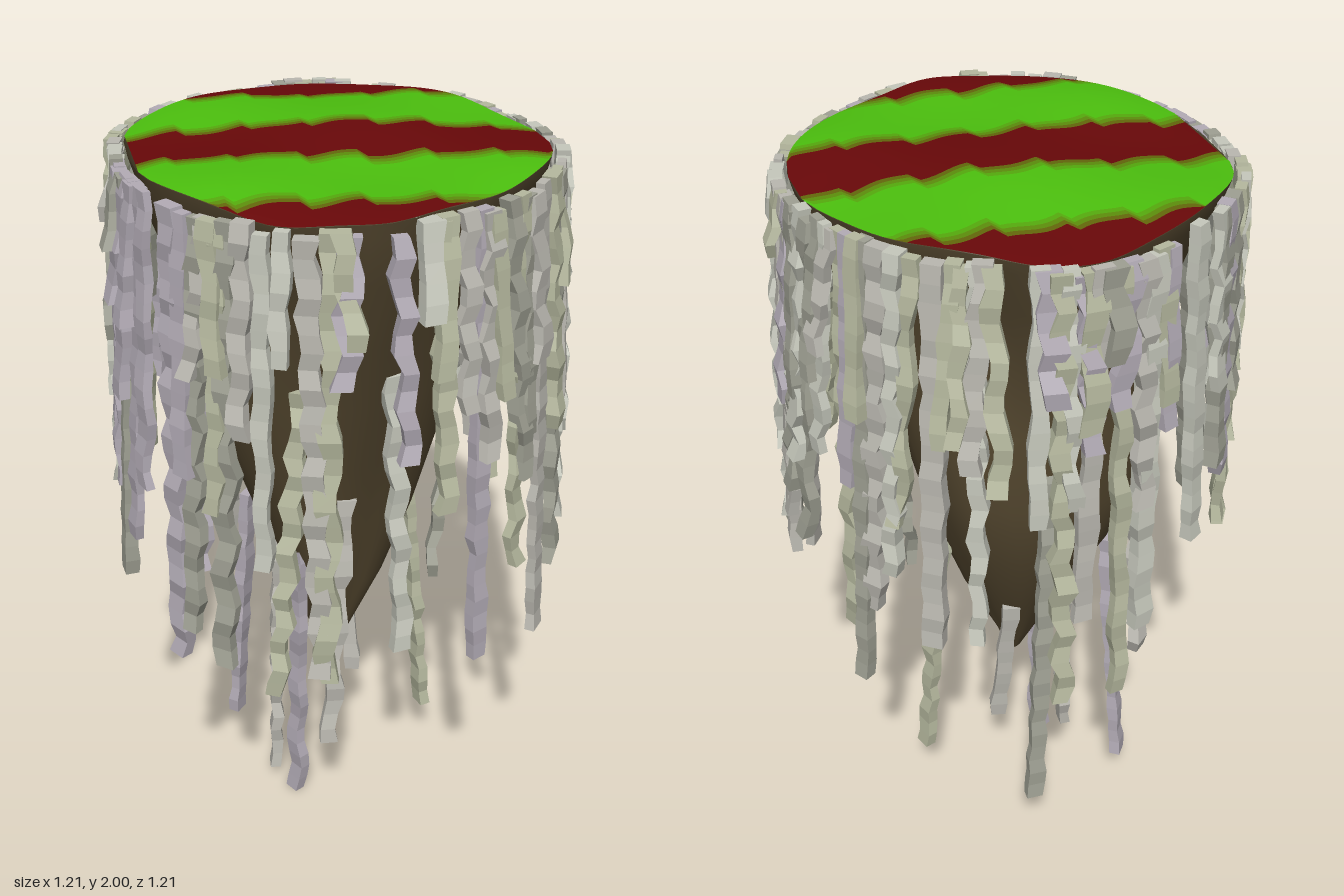
import * as THREE from 'three';

// Seeded random numbers for the natural irregularities
let seed = 7;
const rand = (a = 0, b = 1) => {
  seed = (seed * 16807) % 2147483647;
  return a + (b - a) * (seed / 2147483647);
};

const mat = (color, extra = {}) => new THREE.MeshStandardMaterial({ color, ...extra });

// Island outline as x, z pairs, starting at +x and turning towards +z
const OUTLINE = [
  [0.51, 0], [0.5, 0.14], [0.45, 0.25], [0.3, 0.4], [0.15, 0.47], [0, 0.53], [-0.12, 0.51],
  [-0.25, 0.47], [-0.35, 0.37], [-0.45, 0.22], [-0.5, 0.08], [-0.5, -0.2], [-0.46, -0.29],
  [-0.3, -0.43], [-0.15, -0.5], [0, -0.54], [0.12, -0.51], [0.22, -0.44], [0.38, -0.31], [0.46, -0.15],
];
const rim = new THREE.CatmullRomCurve3(OUTLINE.map(([x, z]) => new THREE.Vector3(x, 0, z)), true);
const rimPoints = rim.getPoints(160);

// Gentle bumps of the upper surface
const topHeight = (x, z) => 1.99 - 0.022 * Math.pow(Math.hypot(x, z) / 0.52, 4)
  + 0.01 * Math.sin(8 * x + 1.2) * Math.cos(9 * z + 0.8);

function meshFrom(positions, index, material) {
  const g = new THREE.BufferGeometry();
  g.setAttribute('position', new THREE.Float32BufferAttribute(positions, 3));
  g.setIndex(index);
  g.computeVertexNormals();
  return new THREE.Mesh(g, material);
}

// Striped upper surface: bands between slanted, ragged lines, with soft transitions
function createCap() {
  const cap = new THREE.Group();
  cap.name = 'stripedTop';
  const red = new THREE.Color(0x680809), green = new THREE.Color(0x4cc00e);
  const COLS = 56, ROWS = 5, STEPS = 4;
  const shades = Array.from({ length: STEPS + 1 }, (_, i) => mat(red.clone().lerp(green, i / STEPS)));
  const columns = [];
  for (let i = 0; i <= COLS; i++) {
    const x = THREE.MathUtils.lerp(-0.499, 0.508, i / COLS);
    const zs = [];
    rimPoints.forEach((p, k) => {
      const q = rimPoints[(k + 1) % rimPoints.length];
      if ((p.x - x) * (q.x - x) <= 0 && p.x !== q.x) zs.push(p.z + (q.z - p.z) * (x - p.x) / (q.x - p.x));
    });
    columns.push({ x, min: Math.min(...zs), max: Math.max(...zs) });
  }
  const ragged = (x, k) => {
    const t = x * 6.5 + k * 0.37;
    return 0.04 * (t - Math.floor(t) - 0.5) + 0.01 * Math.sin(31 * x + k);
  };
  const lines = [() => -9], bandShades = [0];
  [[-0.37, 0.14], [-0.11, 0.17], [0.135, 0.18], [0.4, 0.15]].forEach(([z0, slope], k) => {
    for (let s = 0; s < STEPS; s++) {
      lines.push((x) => z0 + slope * x - ragged(x, k) + 0.016 * (s - (STEPS - 1) / 2));
      bandShades.push(k % 2 ? STEPS - 1 - s : s + 1);
    }
  });
  lines.push(() => 9);
  bandShades.forEach((shade, b) => {
    const pos = [], index = [];
    columns.forEach(({ x, min, max }, i) => {
      const z0 = THREE.MathUtils.clamp(lines[b](x), min, max);
      const z1 = THREE.MathUtils.clamp(lines[b + 1](x), min, max);
      for (let j = 0; j <= ROWS; j++) {
        const z = z0 + (z1 - z0) * j / ROWS;
        pos.push(x, topHeight(x, z), z);
        if (i < COLS && j < ROWS) {
          const a = i * (ROWS + 1) + j, c = a + ROWS + 1;
          index.push(a, a + 1, c, a + 1, c + 1, c);
        }
      }
    });
    const band = meshFrom(pos, index, shades[shade]);
    band.name = shade % STEPS ? 'stripeEdge' : 'stripe';
    cap.add(band);
  });
  return cap;
}

// Rock body rings: height, outline scale, centre x, centre z
const RINGS = [
  [2, 1, 0, 0], [1.93, 0.98, 0, 0], [1.8, 0.88, 0, 0], [1.6, 0.74, -0.01, -0.01], [1.4, 0.68, -0.02, -0.04],
  [1.18, 0.6, -0.02, -0.08], [0.95, 0.45, -0.01, -0.08], [0.72, 0.27, -0.01, -0.05],
  [0.52, 0.1, -0.02, -0.03], [0.44, 0.04, -0.02, -0.02], [0.42, 0.005, -0.02, -0.02],
];
function createRock() {
  const SIDES = 48, pos = [], index = [];
  const pts = rim.getPoints(SIDES);
  RINGS.forEach(([y, s, cx, cz], j) => {
    for (let k = 0; k < SIDES; k++) {
      const lump = j > 1 ? 1 + 0.04 * Math.sin(k * Math.PI / 6 + j * 0.8) : 1;
      const x = pts[k].x * s * lump + cx, z = pts[k].z * s * lump + cz;
      pos.push(x, j ? y : topHeight(x, z) - 0.002, z);
      if (j < RINGS.length - 1) {
        const a = j * SIDES + k, c = j * SIDES + (k + 1) % SIDES;
        index.push(a, c, a + SIDES, c, c + SIDES, a + SIDES);
      }
    }
  });
  const rock = meshFrom(pos, index, mat(0x54472f, { side: THREE.DoubleSide }));
  rock.name = 'rockBody';
  return rock;
}

// One crooked square-section strip hanging from top to bottom
const TINTS = [0xbab8b0, 0xb6b99f, 0xb3acb6, 0xc6c8bc, 0x9fa093].map((c) => mat(c, { flatShading: true }));
function createStrip(top, bottom, angle, width, depth) {
  const length = top.distanceTo(bottom);
  const n = Math.max(4, Math.round(length / 0.045));
  const g = new THREE.BoxGeometry(width, length, depth, 1, n, 1);
  const tangent = new THREE.Vector3(-Math.sin(angle), 0, Math.cos(angle));
  const radial = new THREE.Vector3(Math.cos(angle), 0, Math.sin(angle));
  const wave = rand(0.002, 0.012), step = rand(1.1, 2.2), phase = rand(0, 6);
  const rows = Array.from({ length: n + 1 }, (_, i) => ({
    side: i ? wave * Math.sin(i * step + phase) : 0,
    out: i ? 0.7 * wave * Math.cos(i * step * 1.2 + phase) : 0,
    size: rand(0.85, 1.15),
  }));
  const p = g.attributes.position, v = new THREE.Vector3();
  for (let i = 0; i < p.count; i++) {
    const t = 0.5 - p.getY(i) / length, row = rows[Math.round(t * n)];
    v.lerpVectors(top, bottom, t)
      .addScaledVector(tangent, -p.getX(i) * row.size + row.side)
      .addScaledVector(radial, p.getZ(i) * row.size + row.out);
    p.setXYZ(i, v.x, v.y, v.z);
  }
  g.computeVertexNormals();
  const mesh = new THREE.Mesh(g, TINTS[Math.floor(rand(0, TINTS.length))]);
  mesh.name = 'hangingStrip';
  return mesh;
}

// Lower ends of the rim strips, every five degrees from +x towards +z (0 = gap)
const RIM_ENDS = [
  1.15, 1.05, 0.92, 1.2, 0.95, 1.35, 0.85, 1.3, 0.7, 1.55, 1.0, 1.25, 1.5, 0.75, 1.5, 1.6, 1.75, 0,
  1.4, 0, 1.6, 0.78, 0.8, 1.65, 1.1, 1.45, 0.78, 1.6, 0.85, 1.3, 0.75, 0, 1.2, 1.0, 1.4, 0.83,
  1.1, 1.5, 1.05, 1.3, 0.9, 1.2, 1.5, 1.0, 1.45, 1.2, 1.5, 0, 1.1, 0, 1.5, 0.92, 1.3, 0.72,
  1.0, 1.5, 0.74, 1.3, 0, 1.4, 0.92, 1.5, 0.9, 1.25, 1.1, 0.95, 0.72, 1.3, 0.85, 1.35, 1.05, 1.3,
];
// Strips on the rock: top x, y, z, then bottom x, y, z
const ROCK_STRIPS = [
  [-0.22, 0.9, -0.19, -0.27, 0.1, -0.23], [-0.17, 0.92, -0.02, -0.19, 0.05, -0.01],
  [-0.13, 0.87, 0.07, -0.14, 0, 0.06], [0.21, 0.93, -0.06, 0.27, 0.17, -0.05],
  [-0.02, 1.07, 0.18, -0.08, 0.31, 0.23], [0.04, 1.3, -0.4, 0.09, 0.26, -0.44],
  [0.06, 1.5, 0.33, 0.09, 0.7, 0.36], [-0.34, 1.4, 0.07, -0.4, 0.86, 0.1],
  [0.05, 0.72, -0.17, 0.07, 0.28, -0.12], [-0.15, 1.5, 0.28, -0.24, 0.55, 0.3],
  [0.29, 1.2, 0.06, 0.24, 0.74, 0.1], [-0.23, 1.25, -0.3, -0.26, 0.6, -0.34],
];
function createStrips() {
  const strips = new THREE.Group();
  strips.name = 'hangingStrips';
  // Hang a strip just outside the rim, splaying outwards as it falls
  const hangFromRim = (deg, end) => {
    const a = THREE.MathUtils.degToRad(deg), b = a + rand(-0.06, 0.06);
    const dir = new THREE.Vector3(Math.cos(a), 0, Math.sin(a));
    const edge = rimPoints.reduce((best, p) => (p.angleTo(dir) < best.angleTo(dir) ? p : best)).length();
    const r0 = edge + rand(0.018, 0.03), r1 = Math.min(r0 + rand(0.045, 0.08), 0.585);
    strips.add(createStrip(
      new THREE.Vector3(r0 * Math.cos(a), rand(1.95, 1.97), r0 * Math.sin(a)),
      new THREE.Vector3(r1 * Math.cos(b), end, r1 * Math.sin(b)), a, rand(0.036, 0.054), rand(0.022, 0.038)));
  };
  RIM_ENDS.forEach((end, i) => {
    if (!end) return;
    hangFromRim(i * 5 + rand(-1, 1), end);
    // Shorter strips between the long ones
    if (RIM_ENDS[(i + 1) % RIM_ENDS.length] && rand() < 0.6) hangFromRim(i * 5 + 2.5, rand(1.2, 1.8));
  });
  for (const [x0, y0, z0, x1, y1, z1] of ROCK_STRIPS) {
    strips.add(createStrip(new THREE.Vector3(x0, y0, z0), new THREE.Vector3(x1, y1, z1), Math.atan2(z0, x0), 0.045, 0.03));
  }
  return strips;
}

export function createModel() {
  seed = 7;
  const model = new THREE.Group();
  model.name = 'floatingIsland';
  model.add(createRock(), createCap(), createStrips());
  return model;
}
